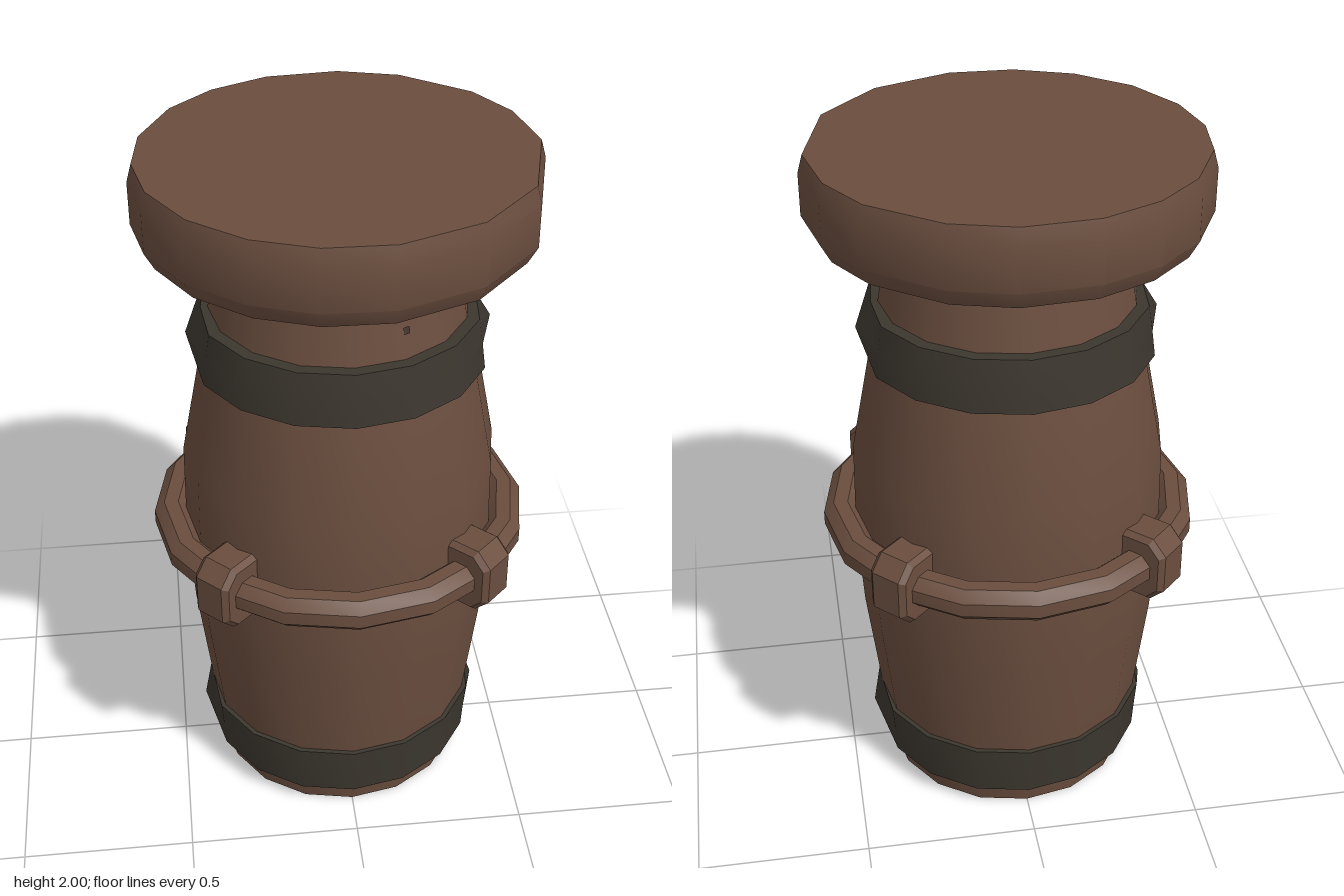
import * as THREE from 'three';
import { toCreasedNormals } from 'three/addons/utils/BufferGeometryUtils.js';

const wood = new THREE.MeshStandardMaterial({ color: 0x6b4e3f });
const iron = new THREE.MeshStandardMaterial({ color: 0x3c372f });
const stain = new THREE.MeshStandardMaterial({ color: 0x43352b });

const SIDES = 16;
const BODY = [[0.37, 0], [0.402, 0.23], [0.44, 0.55], [0.455, 0.8], [0.45, 1.1], [0.39, 1.41], [0.36, 1.56], [0.322, 1.79]];

// Turned shape from [radius, y] pairs; rule(segment, point, r) may return a new [radius, angle]
function turned(profile, sides, rule) {
  const geo = new THREE.LatheGeometry(profile.map(p => new THREE.Vector2(...p)), sides);
  if (rule) {
    const pos = geo.attributes.position;
    const n = profile.length;
    for (let i = 0; i < pos.count; i++) {
      const [r, a] = rule(Math.floor(i / n) % sides, i % n, profile[i % n][0]);
      pos.setXYZ(i, r * Math.sin(a), pos.getY(i), r * Math.cos(a));
    }
  }
  return toCreasedNormals(geo, 0.55);
}

function add(parent, name, geo, material) {
  const mesh = new THREE.Mesh(geo, material);
  mesh.name = name;
  parent.add(mesh);
  return mesh;
}

// Body radius at a given height
function bodyRadius(y) {
  const i = Math.max(1, BODY.findIndex(p => p[1] >= y));
  const [r0, y0] = BODY[i - 1], [r1, y1] = BODY[i];
  return r0 + (r1 - r0) * (y - y0) / (y1 - y0);
}

export function createModel() {
  const model = new THREE.Group();
  model.name = 'barrel';

  // Bulging body with closed base
  add(model, 'body', turned([[0, 0], ...BODY], SIDES), wood);

  // Lid with unevenly spaced corners
  const corners = [9, 35, 61, 91, 112, 130, 155, 174, 196, 215, 233, 254, 272, 290, 310, 330, 349];
  const lidProfile = [[0, 1.78], [0.525, 1.78], [0.552, 1.83], [0.552, 1.95], [0.538, 2], [0, 2]];
  add(model, 'lid', turned(lidProfile, corners.length,
    (k, j, r) => [r, THREE.MathUtils.degToRad(corners[k])]), wood);

  // Iron bands, pinched to a ridge on both sides
  const bands = [
    { name: 'lowerBand', y: [0.07, 0.15, 0.23], r: [0.405, 0.41, 0.416] },
    { name: 'upperBand', y: [1.41, 1.485, 1.56], r: [0.417, 0.407, 0.395] },
  ];
  for (const { name, y, r } of bands) {
    const profile = [[r[0] - 0.06, y[0]], ...r.map((v, i) => [v, y[i]]), [r[2] - 0.06, y[2]]];
    const geo = turned(profile, SIDES, (k, j, radius) => {
      const pinch = k % 8 === 4 ? [0, -0.02, 0.018, -0.015, 0][j] : 0;
      return [radius + pinch, k / SIDES * Math.PI * 2];
    });
    add(model, name, geo, iron);
  }

  // Hoop around the belly, octagonal in section
  const section = [];
  for (let i = 0; i <= 8; i++) {
    const a = (i + 0.5) / 8 * Math.PI * 2;
    section.push([0.496 + 0.054 * Math.cos(a), 0.86 + 0.054 * Math.sin(a)]);
  }
  add(model, 'hoop', turned(section, SIDES), wood);

  // Four chamfered brackets holding the hoop at the diagonals
  const outline = new THREE.Shape([
    [0.4, 0.775], [0.525, 0.775], [0.56, 0.81], [0.56, 0.915], [0.525, 0.952], [0.4, 0.952],
  ].map(p => new THREE.Vector2(...p)));
  const bracketGeo = new THREE.ExtrudeGeometry(outline, {
    depth: 0.09, bevelEnabled: true, bevelThickness: 0.016, bevelSize: 0.014, bevelSegments: 1,
  });
  bracketGeo.translate(0, 0, -0.045);
  for (let i = 0; i < 4; i++) {
    add(model, 'bracket', toCreasedNormals(bracketGeo, 0.4), wood).rotation.y = Math.PI / 4 + i * Math.PI / 2;
  }

  // Thin stains on the body: [start angle, width in degrees, bottom, top]
  const stains = [
    [135, 45, 1.745, 1.778], [-7, 3, 1.72, 1.755], [25, 4, 1.755, 1.778],
    [-8, 3, 0.77, 0.8], [22, 3, 1.63, 1.65],
  ];
  for (const [start, width, y0, y1] of stains) {
    const geo = new THREE.CylinderGeometry(bodyRadius(y1) + 0.003, bodyRadius(y0) + 0.003, y1 - y0,
      Math.ceil(width / 22.5), 1, true, THREE.MathUtils.degToRad(start), THREE.MathUtils.degToRad(width));
    add(model, 'stain', geo, stain).position.y = (y0 + y1) / 2;
  }

  return model;
}
